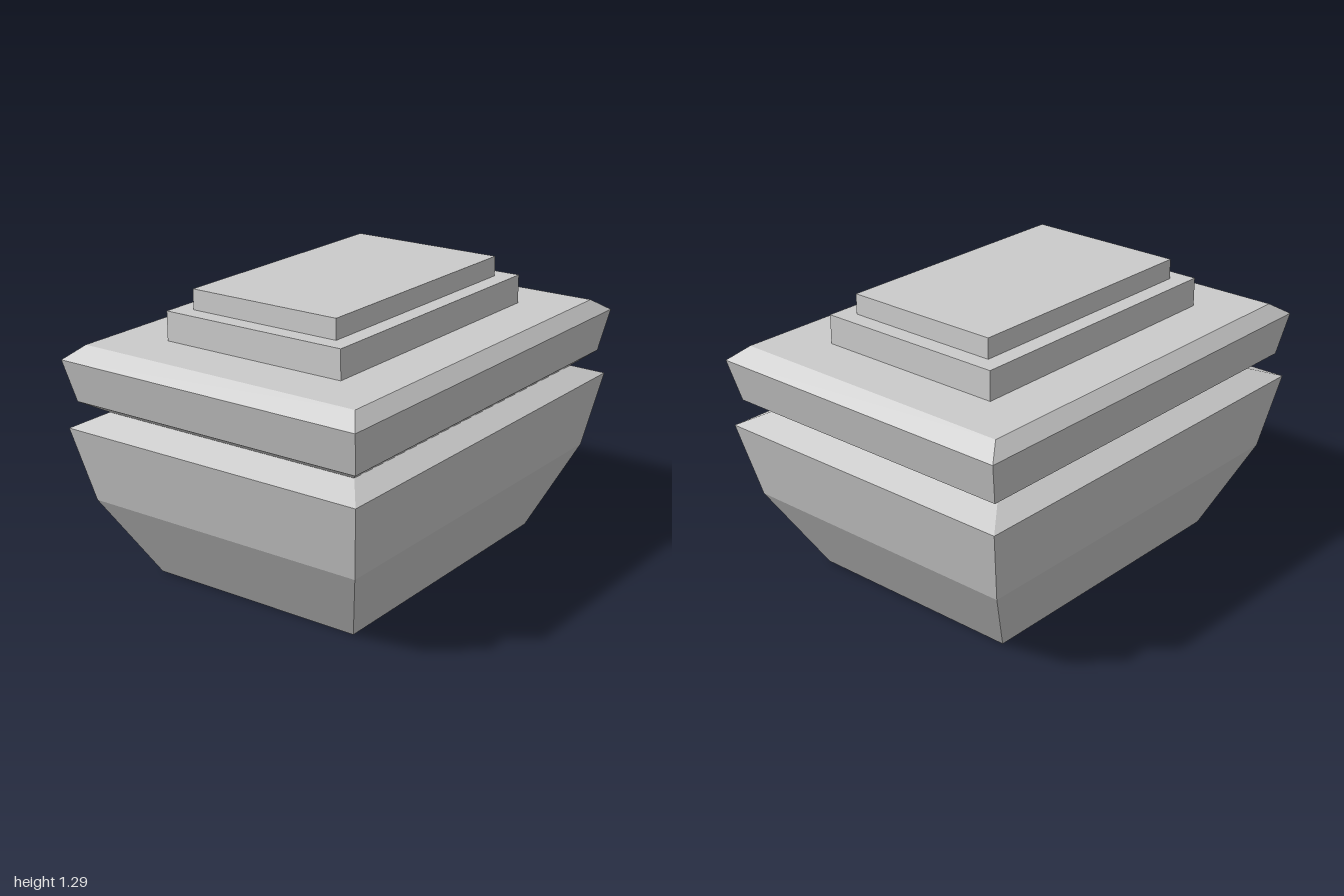
import * as THREE from 'three';

const material = new THREE.MeshStandardMaterial({ color: 0xcccccc, flatShading: true });
const CORNERS = [[1, 1], [1, -1], [-1, -1], [-1, 1]];

// Stack of rectangular cross-sections [y, halfWidth, halfDepth], listed bottom to top.
function rectLoft(name, sections, capBottom, capTop) {
  const rings = sections.map(([y, w, d]) => CORNERS.map(([sx, sz]) => [sx * w, y, sz * d]));
  const positions = [];
  const quad = (a, b, c, d) => positions.push(...a, ...b, ...c, ...a, ...c, ...d);
  for (let r = 0; r < rings.length - 1; r++) {
    const lo = rings[r], hi = rings[r + 1];
    for (let i = 0; i < 4; i++) {
      const j = (i + 1) % 4;
      quad(lo[i], lo[j], hi[j], hi[i]);
    }
  }
  if (capBottom) quad(...[...rings[0]].reverse());
  if (capTop) quad(...rings[rings.length - 1]);

  const geometry = new THREE.BufferGeometry();
  geometry.setAttribute('position', new THREE.Float32BufferAttribute(positions, 3));
  geometry.computeVertexNormals();
  const mesh = new THREE.Mesh(geometry, material);
  mesh.name = name;
  return mesh;
}

// Straight-sided block standing on height y0.
function block(name, y0, y1, width, depth) {
  const mesh = new THREE.Mesh(new THREE.BoxGeometry(width, y1 - y0, depth), material);
  mesh.position.y = (y0 + y1) / 2;
  mesh.name = name;
  return mesh;
}

export function createModel() {
  const model = new THREE.Group();
  model.name = 'steppedCasket';

  // Tapered body, bevelled in to the groove
  model.add(rectLoft('body', [
    [0, 0.69, 0.517],
    [0.373, 0.905, 0.678],
    [0.712, 0.986, 0.739],
    [0.765, 0.848, 0.634],
  ], true, false));

  // Flared lid rising out of the groove
  model.add(rectLoft('lid', [
    [0.765, 0.848, 0.634],
    [0.826, 0.953, 0.714],
    [1.015, 1, 0.747],
    [1.07, 0.915, 0.686],
  ], false, true));

  // Two stepped slabs on top
  model.add(block('lowerStep', 1.07, 1.2, 1.352, 0.892));
  model.add(block('upperStep', 1.2, 1.29, 1.196, 0.734));

  return model;
}
